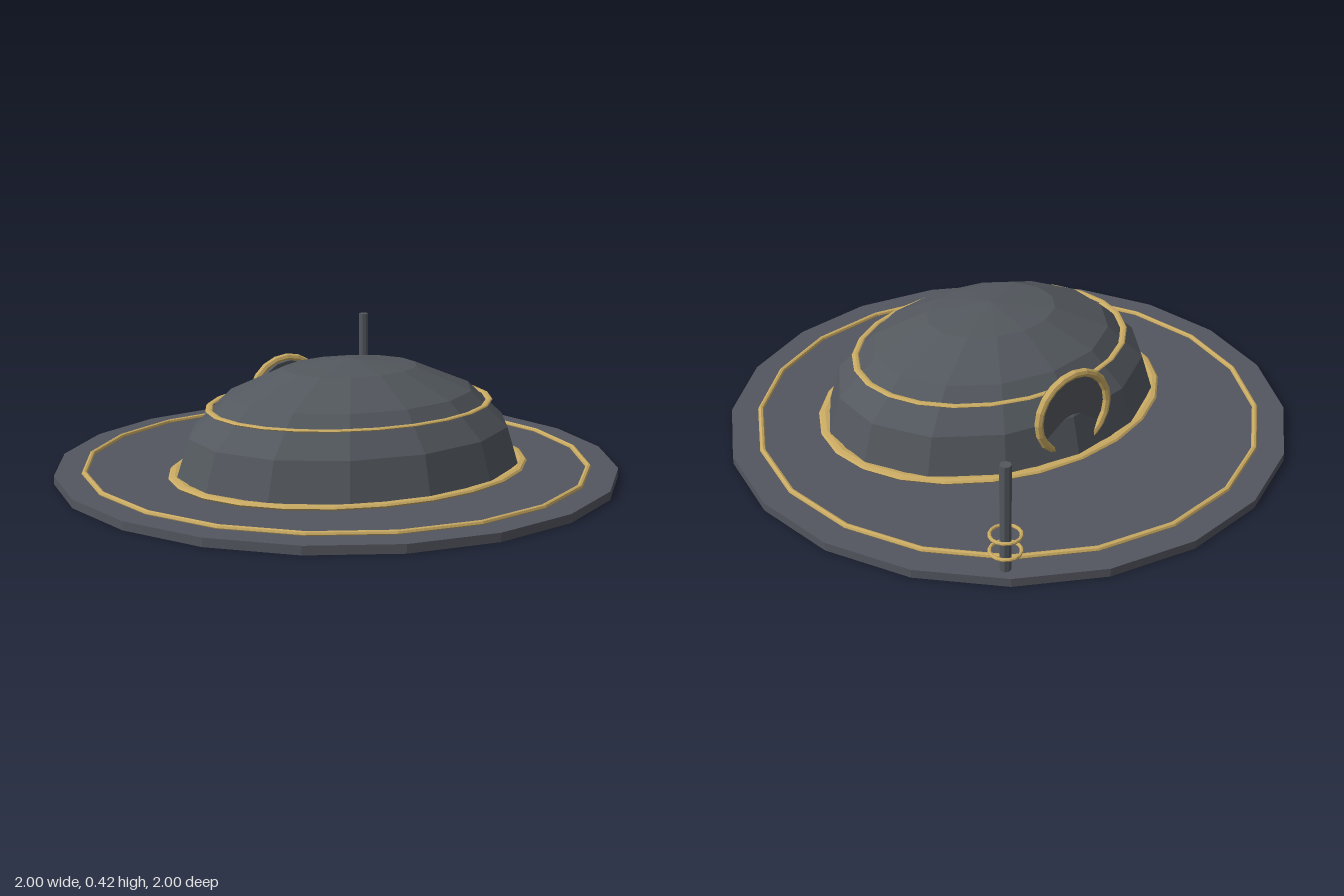
import * as THREE from 'three';

export function createModel() {
  const model = new THREE.Group();
  const mat = (name, color) => {
    const m = new THREE.MeshStandardMaterial({ color, flatShading: true });
    m.name = name;
    return m;
  };
  const deckGrey = mat('deck grey', 0x53565f);
  const domeGrey = mat('dome grey', 0x53585e);
  const brass = mat('brass', 0xc9aa62);

  const add = (name, geometry, material, x, y, z) => {
    const mesh = new THREE.Mesh(geometry, material);
    mesh.name = name;
    mesh.position.set(x, y, z);
    model.add(mesh);
    return mesh;
  };
  // Horizontal ring with elliptical plan and flattened section
  const flatRing = (name, rx, rz, tube, thick, segments, x, y, z) => {
    const g = new THREE.TorusGeometry(1, tube / rx, 8, segments);
    g.rotateX(Math.PI / 2);
    g.scale(rx, (thick * rx) / tube, rz);
    return add(name, g, brass, x, y, z);
  };

  // Round base plate
  add('basePlate', new THREE.CylinderGeometry(1, 1, 0.03, 20), deckGrey, 0, 0.015, 0);
  flatRing('plateTrim', 0.895, 0.895, 0.01, 0.01, 20, 0, 0.033, 0);

  // Faceted oval dome with its two trim bands
  const dome = new THREE.SphereGeometry(1, 14, 4, Math.PI / 2, Math.PI * 2, 0, Math.PI / 2);
  dome.scale(0.64, 0.393, 0.515);
  add('dome', dome, domeGrey, 0, 0.031, 0.1);
  flatRing('domeBaseTrim', 0.64, 0.515, 0.023, 0.009, 24, 0, 0.041, 0.1);
  flatRing('domeUpperTrim', 0.515, 0.413, 0.013, 0.005, 24, 0, 0.266, 0.1);

  // Round hatch on the back of the dome
  const hatch = new THREE.CylinderGeometry(0.14, 0.14, 0.025, 16);
  hatch.rotateX(Math.PI / 2);
  add('hatch', hatch, domeGrey, 0, 0.2, -0.357);
  add('hatchRim', new THREE.TorusGeometry(0.147, 0.015, 8, 20), brass, 0, 0.2, -0.372);

  // Mast with two loose rings
  add('mast', new THREE.CylinderGeometry(0.019, 0.019, 0.39, 8), domeGrey, 0.57, 0.22, -0.757);
  for (const y of [0.1, 0.16]) {
    flatRing('mastRing', 0.05, 0.05, 0.006, 0.006, 16, 0.57, y, -0.757);
  }
  return model;
}
